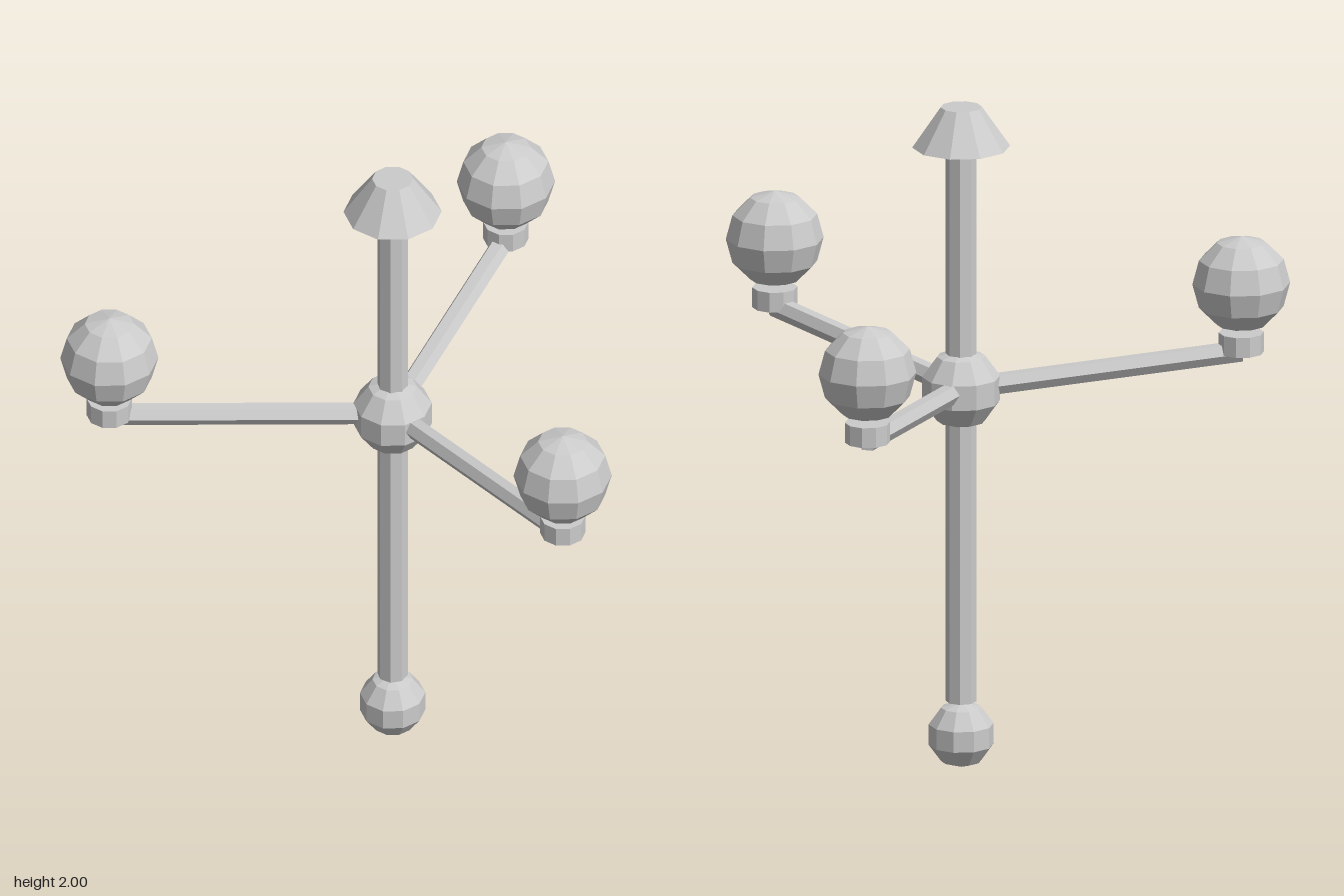
import * as THREE from 'three';

const material = new THREE.MeshStandardMaterial({ color: 0xcccccc, flatShading: true });
const UP = new THREE.Vector3(0, 1, 0);
const CENTRE_X = -0.2075;

function addMesh(parent, name, geometry, x, y, z) {
  const mesh = new THREE.Mesh(geometry, material);
  mesh.name = name;
  mesh.position.set(x, y, z);
  parent.add(mesh);
  return mesh;
}

// Ten-sided ball with a corner facing +z
function ball(radius, rows) {
  return new THREE.SphereGeometry(radius, 10, rows).rotateY(Math.PI / 2);
}

export function createModel() {
  const group = new THREE.Group();
  group.name = 'chandelier';

  // Central column
  addMesh(group, 'ceilingCanopy', new THREE.CylinderGeometry(0.06, 0.143, 0.12, 10), CENTRE_X, 1.94, 0);
  addMesh(group, 'stem', new THREE.CylinderGeometry(0.045, 0.045, 1.7, 8), CENTRE_X, 1.05, 0);
  addMesh(group, 'hub', ball(0.12, 5), CENTRE_X, 1.147, 0);
  addMesh(group, 'finial', ball(0.1, 5), CENTRE_X, 0.1, 0);

  // Three arms, each carrying a cup and a globe
  for (let i = 0; i < 3; i++) {
    const angle = (i * Math.PI * 2) / 3;
    const lamp = new THREE.Group();
    lamp.name = 'lamp' + (i + 1);
    group.add(lamp);

    const x = CENTRE_X + 0.83 * Math.cos(angle);
    const z = 0.83 * Math.sin(angle);
    const start = new THREE.Vector3(CENTRE_X, 1.147, 0);
    const end = new THREE.Vector3(x, 1.215, z);

    // The arm lies along +x, tilts up to the cup, then swings round
    const length = start.distanceTo(end);
    const armGeometry = new THREE.CylinderGeometry(0.032, 0.032, length, 6)
      .rotateZ(-Math.PI / 2)
      .rotateZ(Math.asin((end.y - start.y) / length));
    const middle = start.clone().lerp(end, 0.5);
    const arm = addMesh(lamp, 'arm', armGeometry, middle.x, middle.y, middle.z);
    arm.quaternion.setFromAxisAngle(UP, -angle);

    addMesh(lamp, 'cup', new THREE.CylinderGeometry(0.066, 0.066, 0.06, 10), x, 1.242, z);
    addMesh(lamp, 'globe', ball(0.143, 6), x, 1.42, z);
  }
  return group;
}
